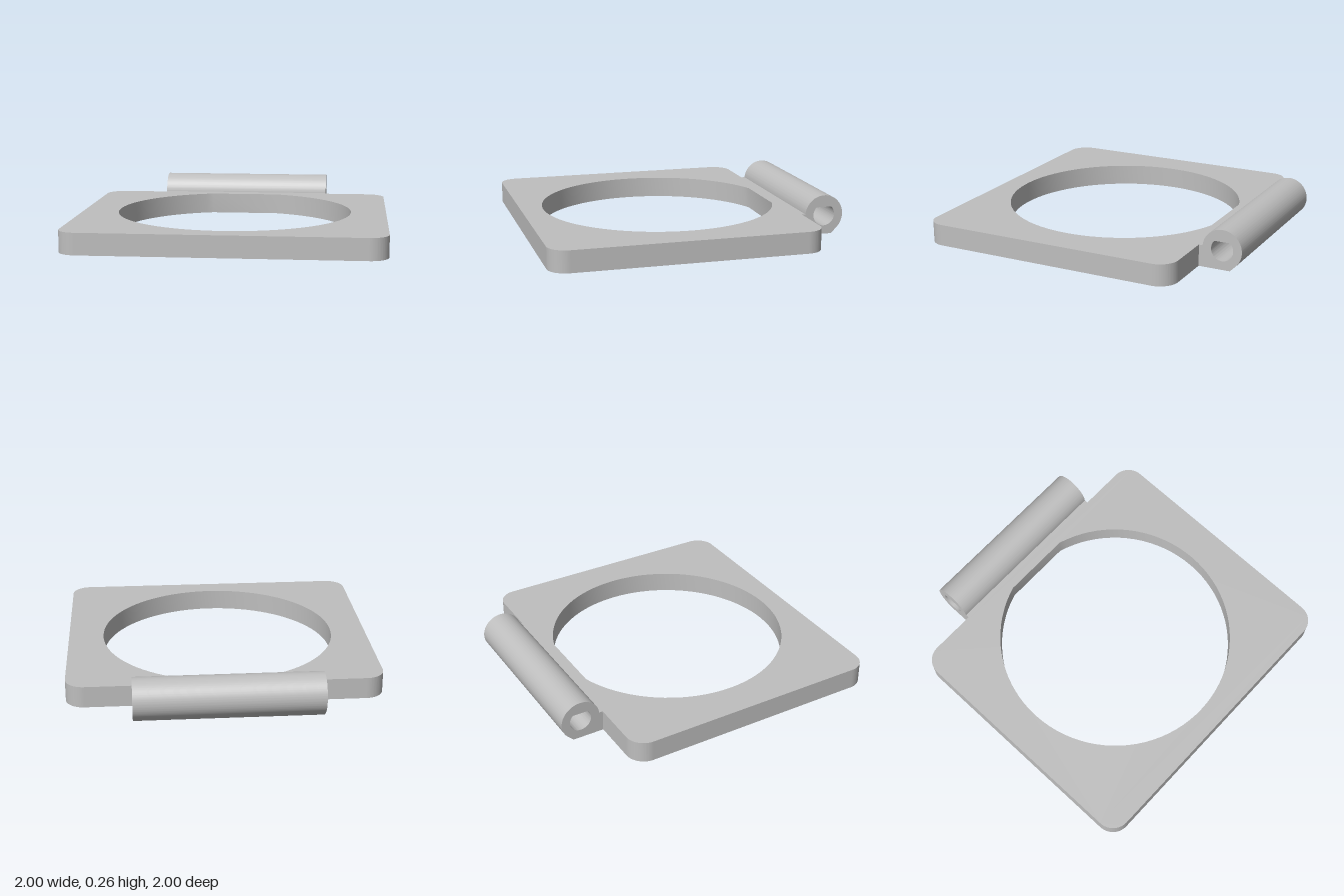
import * as THREE from 'three';
import { toCreasedNormals } from 'three/addons/utils/BufferGeometryUtils.js';

const extrude = (shape, depth) =>
  new THREE.ExtrudeGeometry(shape, { depth, bevelEnabled: false, curveSegments: 40 });

export function createModel() {
  const group = new THREE.Group();
  const grey = new THREE.MeshStandardMaterial({ color: 0xbebebe });
  grey.name = 'grey';

  const add = (name, geometry) => {
    const mesh = new THREE.Mesh(toCreasedNormals(geometry, 0.5), grey);
    mesh.name = name;
    group.add(mesh);
  };

  const thickness = 0.138;
  const back = 0.72; // distance of the plate's back edge behind the centre

  // Plate with rounded corners, drawn from above (shape y = -z)
  const r = 0.12;
  const plate = new THREE.Shape();
  plate.absarc(1 - r, -1 + r, r, -Math.PI / 2, 0);
  plate.absarc(1 - r, back - r, r, 0, Math.PI / 2);
  plate.absarc(-1 + r, back - r, r, Math.PI / 2, Math.PI);
  plate.absarc(-1 + r, -1 + r, r, Math.PI, Math.PI * 1.5);
  plate.closePath();

  // Round opening with a flat chord at the back
  const opening = new THREE.Path();
  const chord = Math.asin(0.735 / 0.77);
  opening.absarc(0, -0.085, 0.77, Math.PI - chord, Math.PI * 2 + chord);
  opening.closePath();
  plate.holes.push(opening);
  add('plate', extrude(plate, thickness).rotateX(-Math.PI / 2));

  // Hinge barrel with its web to the plate, drawn from the side (shape x = -z)
  const c = 0.872, h = 0.128, R = 0.128;
  const barrel = new THREE.Shape();
  barrel.moveTo(back, 0);
  barrel.lineTo(c + R * (Math.SQRT2 - 1), 0);
  barrel.absarc(c, h, R, -Math.PI / 4, Math.PI - Math.asin((thickness - h) / R));
  barrel.lineTo(back, thickness);
  barrel.closePath();

  // Teardrop pin hole
  const bore = 0.072;
  const pinHole = new THREE.Path();
  pinHole.moveTo(c, h + bore * Math.SQRT2);
  pinHole.absarc(c, h, bore, Math.PI * 0.75, Math.PI * 2.25);
  pinHole.closePath();
  barrel.holes.push(pinHole);
  const width = 1.17;
  add('hingeBarrel', extrude(barrel, width).translate(0, 0, -width / 2).rotateY(Math.PI / 2));

  return group;
}
